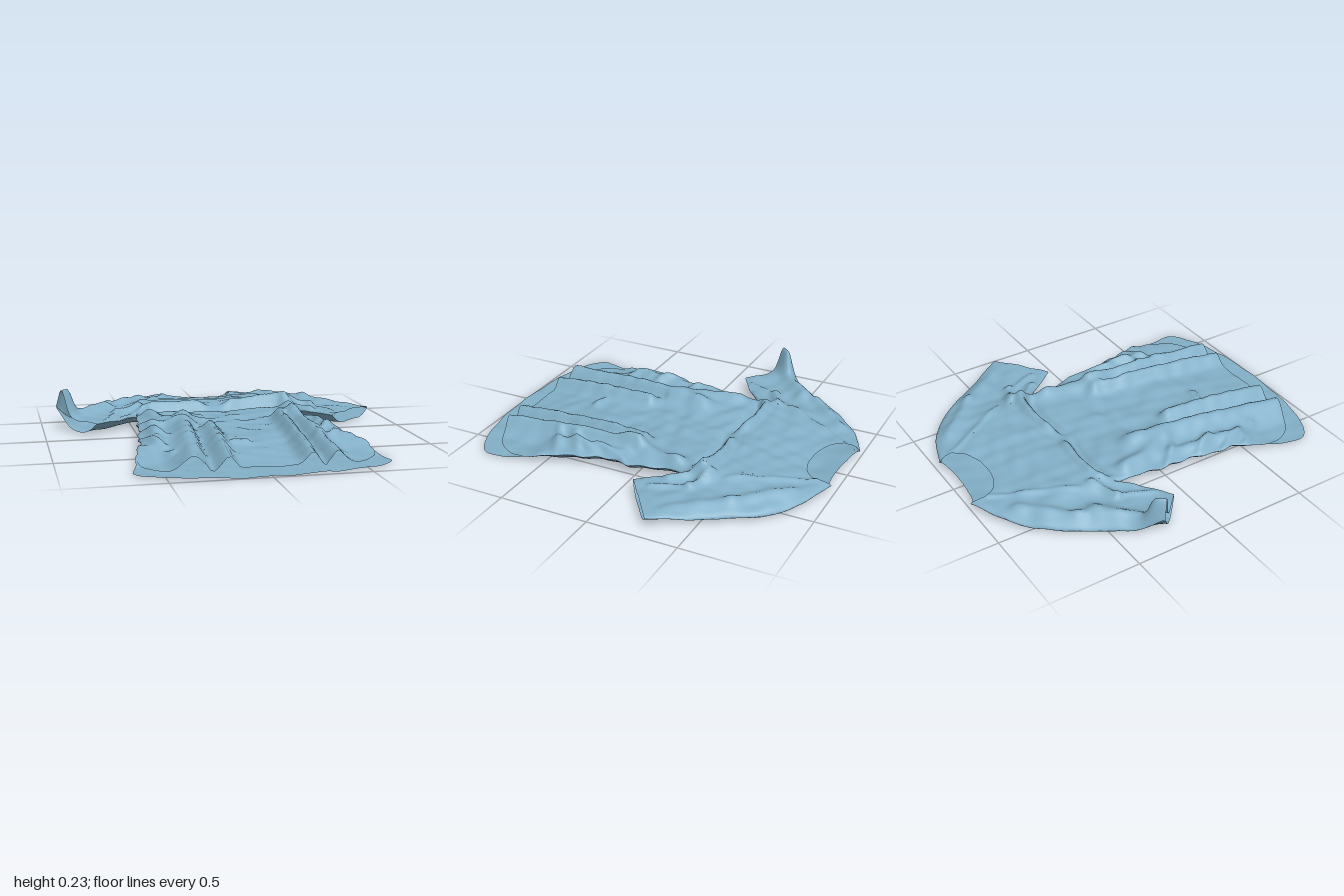
import * as THREE from 'three';

const { lerp, smoothstep, clamp } = THREE.MathUtils;
const bell = t => Math.exp(-t * t);
const toPoints = pts => pts.map(p => new THREE.Vector2(...p));

// Edges of each side as [x, z]: shoulder line, underarm line, body side from armpit to hem
const left = {
  shoulder: [[0.2, -0.98], [0.42, -0.9], [0.6, -0.76], [0.75, -0.54], [0.92, -0.28]],
  underarm: [[0.46, -0.29], [0.54, -0.17], [0.63, -0.06]],
  body: [[0.46, -0.29], [0.46, -0.17], [0.51, 0.03], [0.52, 0.22], [0.61, 0.5], [0.66, 0.8]],
};
const right = {
  shoulder: [[-0.2, -1], [-0.42, -0.89], [-0.6, -0.72], [-0.76, -0.49], [-0.925, -0.3]],
  underarm: [[-0.47, -0.29], [-0.58, -0.19], [-0.72, -0.1]],
  body: [[-0.47, -0.29], [-0.49, -0.15], [-0.51, 0.07], [-0.54, 0.3], [-0.58, 0.52], [-0.645, 0.8]],
};

// Smooth each edge and ripple the body side where the cloth is bunched
for (const side of [left, right]) {
  side.top = new THREE.SplineCurve(toPoints(side.shoulder));
  side.under = new THREE.SplineCurve(toPoints(side.underarm));
  side.edge = new THREE.SplineCurve(toPoints(side.body)).getPoints(60);
  for (const p of side.edge)
    p.x += (0.007 * Math.sin(23 * p.y + 3 * p.x) + 0.006 * Math.sin(49 * p.y))
      * smoothstep(p.y, -0.25, 0) * (1 - smoothstep(p.y, 0.55, 0.75));
}

// Piecewise linear value from [key, value] stops
function ramp(stops, t) {
  for (let i = 1; i < stops.length; i++) {
    const [a, va] = stops[i - 1], [b, vb] = stops[i];
    if (t <= b) return lerp(va, vb, clamp((t - a) / (b - a), 0, 1));
  }
  return stops[stops.length - 1][1];
}

function segmentDistance(x, z, ax, az, bx, bz) {
  const dx = bx - ax, dz = bz - az;
  const t = clamp(((x - ax) * dx + (z - az) * dz) / (dx * dx + dz * dz), 0, 1);
  return Math.hypot(x - ax - t * dx, z - az - t * dz);
}

// Closed edges, where front and back cloth meet
const closedEdges = [left, right].flatMap(s =>
  [s.top.getPoints(24), s.under.getPoints(10), s.edge.filter(p => p.y < 0.63)]);
function edgeDistance(x, z) {
  let d = 9;
  for (const line of closedEdges)
    for (let i = 1; i < line.length; i++)
      d = Math.min(d, segmentDistance(x, z, line[i - 1].x, line[i - 1].y, line[i].x, line[i].y));
  return d;
}

// Long skirt folds: x at top, z at top, x at hem, width, height (negative = valley)
const SKIRT_FOLDS = [
  [-0.25, -0.05, -0.36, 0.06, 0.075], [-0.23, 0.2, -0.27, 0.02, -0.03], [-0.15, 0.25, -0.19, 0.04, 0.075],
  [0.28, 0.05, 0.23, 0.04, 0.08], [0.3, 0.12, 0.29, 0.016, -0.03], [0.36, 0.05, 0.36, 0.04, 0.075],
];
// Folds on both sides: x1, z1, x2, z2, width, height
const SIDE_FOLDS = [
  [0.42, -0.2, 0.34, 0.1, 0.05, 0.045], [0.45, 0.1, 0.47, 0.5, 0.04, 0.035],
  [0.22, -0.9, 0.44, -0.5, 0.018, 0.014], [0.38, -0.83, 0.61, -0.6, 0.035, 0.025],
  [0.61, -0.6, 0.79, -0.35, 0.04, 0.02], [0.44, -0.42, 0.58, -0.36, 0.025, 0.035],
  [0.42, -0.34, 0.54, -0.22, 0.03, 0.04], [0.58, -0.34, 0.65, -0.17, 0.02, 0.02],
];
const folds = SKIRT_FOLDS.map(([x, z, hemX, w, up]) => [x, z, hemX, 0.9, w, up]);
for (const s of [1, -1]) {
  for (const [ax, az, bx, bz, w, up] of SIDE_FOLDS) folds.push([s * ax, az, s * bx, bz, w, up]);
  // slanted crumples running in from the body side
  for (let i = 0; i < 4; i++) {
    const wobble = Math.sin(5 * i + 2 * s), z = 0.08 + 0.14 * i + 0.03 * wobble;
    folds.push([s * (0.42 + 0.03 * wobble), z + 0.1 + 0.05 * wobble, s * (0.5 + 0.025 * i), z - 0.03, 0.025, 0.028]);
  }
}
// turned-up cuff with its raised sleeve, high armpit fold, small pinch at the middle
folds.push([-0.86, -0.32, -0.9, -0.27, 0.035, 0.16], [-0.62, -0.5, -0.85, -0.33, 0.05, 0.035],
  [0.44, -0.37, 0.41, -0.2, 0.05, 0.035], [-0.08, 0.51, -0.02, 0.53, 0.022, 0.03]);

// Sagging fold across the chest, with a hollow below it
function chestFold(x, z) {
  const line = -0.35 - 0.035 * Math.abs(Math.sin(6 * x));
  const across = (1 - smoothstep(Math.abs(x), 0.36, 0.5)) * (0.2 + 0.8 * smoothstep(Math.abs(x), 0, 0.12));
  return across * ((0.035 + 0.06 * Math.max(0, x)) * bell((z - line) / 0.03) - 0.03 * bell((z - line - 0.055) / 0.024));
}

const THICKNESS = [[-1, 0.03], [-0.8, 0.055], [-0.6, 0.08], [-0.45, 0.09], [-0.33, 0.07],
  [0, 0.07], [0.4, 0.065], [0.7, 0.04], [0.9, 0.018]];
const EDGE_RISE = [[-1, 0.008], [-0.5, 0.02], [-0.2, 0.055], [0.4, 0.055], [0.65, 0.015], [0.8, 0.005]];

const crumple = (x, z) => Math.sin(17 * x + 9 * z + 2 * Math.sin(11 * z)) * Math.sin(13 * z - 8 * x)
  + 0.5 * Math.sin(37 * x - 21 * z) * Math.sin(29 * z + 15 * x);

// Resting height of the cloth, raised at the collar and at one cuff
const ground = (x, z) => 0.009 + 0.004 * crumple(x, z) + 0.025 * smoothstep(-z, 0.8, 1)
  + 0.08 * bell(Math.hypot(x + 0.94, z + 0.3) / 0.09);

function backHeight(x, z) {
  const q = Math.min(edgeDistance(x, z) / 0.11, 1);
  return ground(x, z) + ramp(EDGE_RISE, z) * (1 - q) ** 2;
}
function frontHeight(x, z) {
  const q = Math.min(edgeDistance(x, z) / 0.09, 1);
  const sleeve = z < 0 ? smoothstep(Math.abs(x), 0.4, 0.55) : 0;
  let h = lerp(ramp(THICKNESS, z), 0.06, sleeve * smoothstep(z, -0.9, -0.7));
  for (const [ax, az, bx, bz, w, up] of folds)
    h += 0.8 * up * bell(segmentDistance(x, z, ax, az, bx, bz) / w);
  h += chestFold(x, z) + 0.004 * crumple(x * 1.3, z * 1.2);
  h *= 1 - 0.75 * smoothstep(Math.abs(x), 0.4, 0.5) * smoothstep(z, 0.45, 0.7);
  const rise = ramp(EDGE_RISE, z);
  return ground(x, z) + rise + (Math.max(h, 0.008) - rise) * Math.sqrt(1 - (1 - q) ** 2);
}

const material = new THREE.MeshStandardMaterial({ color: 0x83b0c8, side: THREE.DoubleSide });

// Cloth grid: point(u, v) gives [x, z]; height(x, z) gives y
function cloth(name, nu, nv, point, height, flip) {
  const pos = [], index = [];
  for (let j = 0; j <= nv; j++)
    for (let i = 0; i <= nu; i++) {
      const [x, z] = point(i / nu, j / nv);
      pos.push(x, height(x, z), z);
      if (i === nu || j === nv) continue;
      const a = j * (nu + 1) + i, b = a + 1, c = a + nu + 1, d = c + 1;
      index.push(...(flip ? [a, b, c, b, d, c] : [a, c, b, b, c, d]));
    }
  const geometry = new THREE.BufferGeometry();
  geometry.setAttribute('position', new THREE.Float32BufferAttribute(pos, 3));
  geometry.setIndex(index);
  geometry.computeVertexNormals();
  const mesh = new THREE.Mesh(geometry, material);
  mesh.name = name;
  return mesh;
}

// Body panel between neckline and hem, both functions of k = -1..1 across
function bodyPoint(neck, hem) {
  const stops = side => [[side.shoulder[0][1], side.shoulder[0][0]], ...side.edge.map(p => [p.y, p.x])];
  const l = stops(left), r = stops(right);
  return (u, v) => {
    const k = Math.sin((u - 0.5) * Math.PI);
    const z = lerp(neck(k), hem(k), v);
    return [lerp(ramp(r, z), ramp(l, z), (k + 1) / 2), z];
  };
}
const arc = k => Math.sqrt(Math.max(0, 1 - k * k));
const collar = k => -0.99 + 0.01 * k;

// Sleeve panel swept from the shoulder seam to the cuff
function sleevePoint(side) {
  return (u, v) => {
    const t = (1 - Math.cos(u * Math.PI)) / 2;
    const p = side.top.getPoint(v).lerp(side.under.getPoint(v), t);
    return [p.x, p.y];
  };
}

export function createModel() {
  const group = new THREE.Group();
  group.name = 'shirt';
  const frontBody = bodyPoint(k => collar(k) + 0.19 * arc(k), k => 0.62 + 0.27 * (1 - Math.abs(k) ** 5) ** 0.8);
  const backBody = bodyPoint(k => collar(k) + 0.04 * arc(k), k => 0.81 + 0.19 * arc(k));
  group.add(cloth('frontPanel', 96, 130, frontBody, frontHeight, false));
  group.add(cloth('backPanel', 60, 70, backBody, backHeight, true));
  for (const [name, side] of Object.entries({ left, right })) {
    const point = sleevePoint(side), mirrored = side === left;
    group.add(cloth(name + 'SleeveFront', 48, 48, point, frontHeight, mirrored));
    group.add(cloth(name + 'SleeveBack', 32, 32, point, backHeight, !mirrored));
  }
  return group;
}
